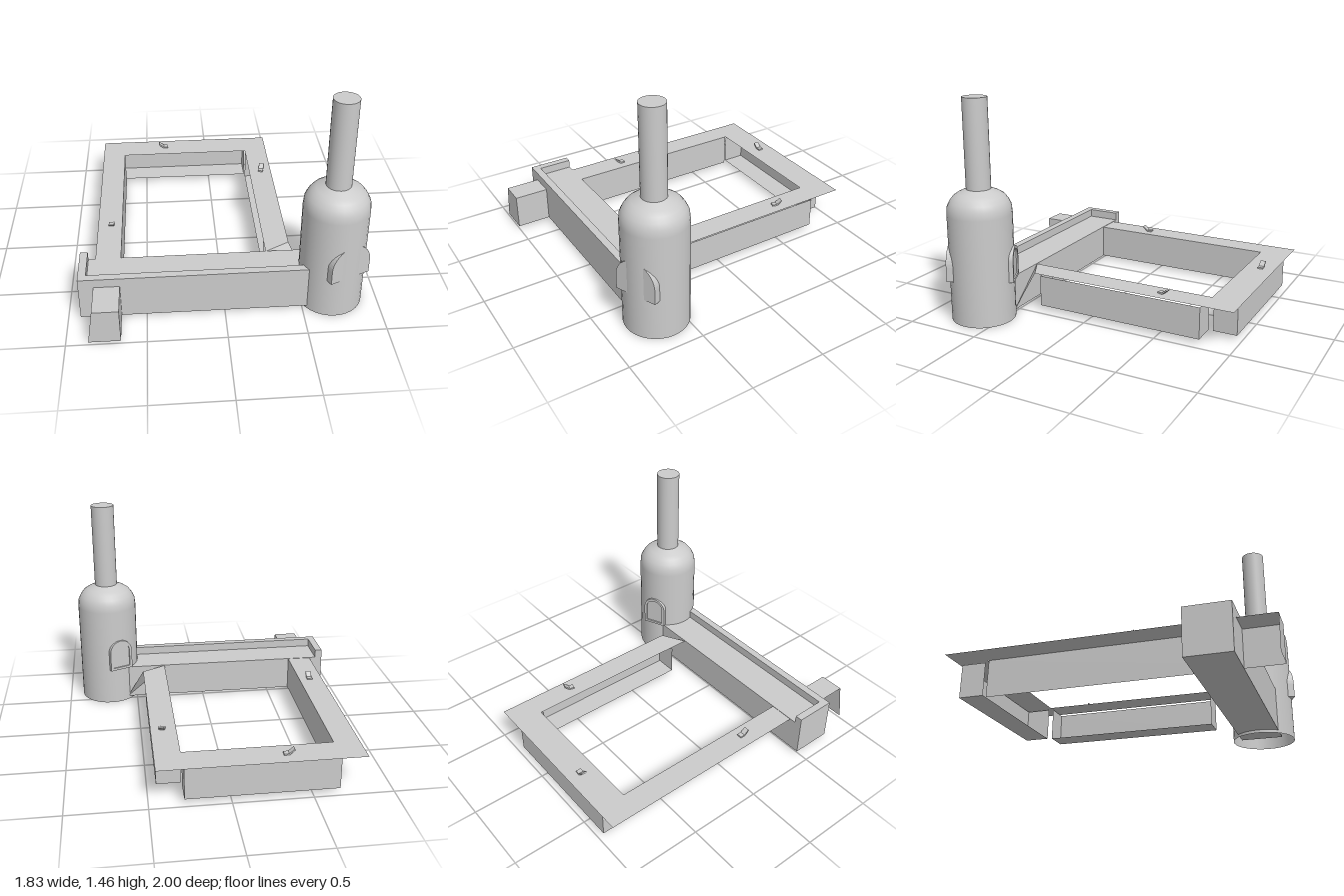
import * as THREE from 'three';

const solid = new THREE.MeshStandardMaterial({ color: 0xcccccc });
const sheet = new THREE.MeshStandardMaterial({ color: 0xcccccc, side: THREE.DoubleSide });

export function createModel() {
  const model = new THREE.Group();

  const add = (name, geometry, material = solid, parent = model) => {
    const mesh = new THREE.Mesh(geometry, material);
    mesh.name = name;
    parent.add(mesh);
    return mesh;
  };

  // Box given by its minimum and maximum corners
  const box = (name, [x0, y0, z0], [x1, y1, z1]) =>
    add(name, new THREE.BoxGeometry(x1 - x0, y1 - y0, z1 - z0)
      .translate((x0 + x1) / 2, (y0 + y1) / 2, (z0 + z1) / 2));

  // Flat polygon fanned from its first corner
  const panel = (name, ...corners) => {
    const points = [];
    for (let i = 1; i < corners.length - 1; i++) points.push(...corners[0], ...corners[i], ...corners[i + 1]);
    const geometry = new THREE.BufferGeometry();
    geometry.setAttribute('position', new THREE.Float32BufferAttribute(points, 3));
    geometry.computeVertexNormals();
    return add(name, geometry, sheet);
  };

  // Trough: a box missing its top and the face that looks into the courtyard
  const trough = (name, lo, hi, openFace) => {
    const mesh = box(name, lo, hi);
    const index = Array.from(mesh.geometry.index.array);
    mesh.geometry.setIndex(index.filter((_, i) => {
      const face = Math.floor(i / 6); // +x, -x, +y, -y, +z, -z
      return face !== 2 && face !== openFace;
    }));
    mesh.geometry.clearGroups();
    mesh.material = sheet;
  };

  // Thin walkway around three sides of the courtyard
  const outline = [[-0.825, -1], [0.455, -1], [0.455, 0.4], [0.29, 0.49],
    [0.29, -0.8], [-0.66, -0.8], [-0.66, 1], [-0.825, 1]];
  const walkway = new THREE.Shape(outline.map(([x, z]) => new THREE.Vector2(x, -z)));
  add('walkway', new THREE.ShapeGeometry(walkway).rotateX(-Math.PI / 2).translate(0, 0.255, 0), sheet);

  // Walls under the walkway
  trough('rightWall', [0.29, 0.03, -0.78], [0.443, 0.24, 0.365], 1);
  trough('backWall', [-0.67, 0.03, -0.968], [0.285, 0.24, -0.81], 4);
  panel('leftWall', [-0.66, 0.02, 1], [-0.66, 0.02, -0.794], [-0.66, 0.255, -0.794], [-0.66, 0.255, 1]);
  panel('leftWallEnd', [-0.86, 0.02, 1], [-0.66, 0.02, 1], [-0.66, 0.255, 1], [-0.825, 0.255, 1]);
  panel('cornerSlope', [0.29, 0.255, 0.49], [0.57, 0.02, 0.49], [0.455, 0.255, 0.4]);

  // Front wall with an L-shaped parapet
  box('frontWall', [-0.92, 0.02, 0.49], [0.7, 0.258, 0.77]);
  box('frontParapet', [-0.92, 0.258, 0.72], [0.7, 0.315, 0.77]);
  box('endParapet', [-0.92, 0.258, 0.49], [-0.87, 0.315, 0.72]);

  // Round tower with a domed shoulder and a tall neck
  const tower = new THREE.Group();
  tower.name = 'tower';
  tower.position.set(0.697, 0, 0.645);
  model.add(tower);
  const profile = [[0.21, 0], [0.21, 0.71], [0.205, 0.76], [0.188, 0.795], [0.165, 0.825], [0.135, 0.845], [0.08, 0.87]];
  add('towerBody', new THREE.LatheGeometry(profile.map(([r, y]) => new THREE.Vector2(r, y)), 32), sheet, tower);
  add('towerNeck', new THREE.CylinderGeometry(0.08, 0.08, 0.595, 32).translate(0, 1.1575, 0), solid, tower);

  // Arched plates on opposite sides of the tower
  const arch = (path, halfWidth, bottom, top) => {
    path.moveTo(-halfWidth, bottom);
    path.lineTo(halfWidth, bottom);
    path.lineTo(halfWidth, top - halfWidth);
    path.absarc(0, top - halfWidth, halfWidth, 0, Math.PI, false);
    path.closePath();
    return path;
  };
  const archPlate = (name, shape, from, to, angle) =>
    add(name, new THREE.ExtrudeGeometry(shape, { depth: to - from, bevelEnabled: false, curveSegments: 10 })
      .translate(0, 0, from), solid, tower).rotation.y = angle;
  const facing = Math.atan2(0.4, 0.915);
  archPlate('frontDoor', arch(new THREE.Shape(), 0.142, 0.283, 0.522), 0.14, 0.2, facing);
  const frame = arch(new THREE.Shape(), 0.085, 0.265, 0.49);
  frame.holes.push(arch(new THREE.Path(), 0.066, 0.283, 0.471));
  archPlate('backDoorFrame', frame, 0.17, 0.222, facing + Math.PI);
  archPlate('backDoor', arch(new THREE.Shape(), 0.07, 0.28, 0.475), 0.17, 0.212, facing + Math.PI);

  // Small bent tabs standing on the walkway
  const bend = [[-0.035, 0], [0, 0], [0.035, 0.03], [0.03, 0.038], [-0.004, 0.01], [-0.035, 0.01]];
  const tabShape = new THREE.Shape(bend.map(([x, y]) => new THREE.Vector2(x, y)));
  const tabGeometry = new THREE.ExtrudeGeometry(tabShape, { depth: 0.036, bevelEnabled: false }).translate(0, 0, -0.018);
  for (const [x, z, angle] of [[-0.733, 0.135, -Math.PI / 2], [-0.357, -0.905, Math.PI], [0.382, -0.513, 1.3]]) {
    const tab = add('tab', tabGeometry);
    tab.position.set(x, 0.257, z);
    tab.rotation.y = angle;
  }

  return model;
}
